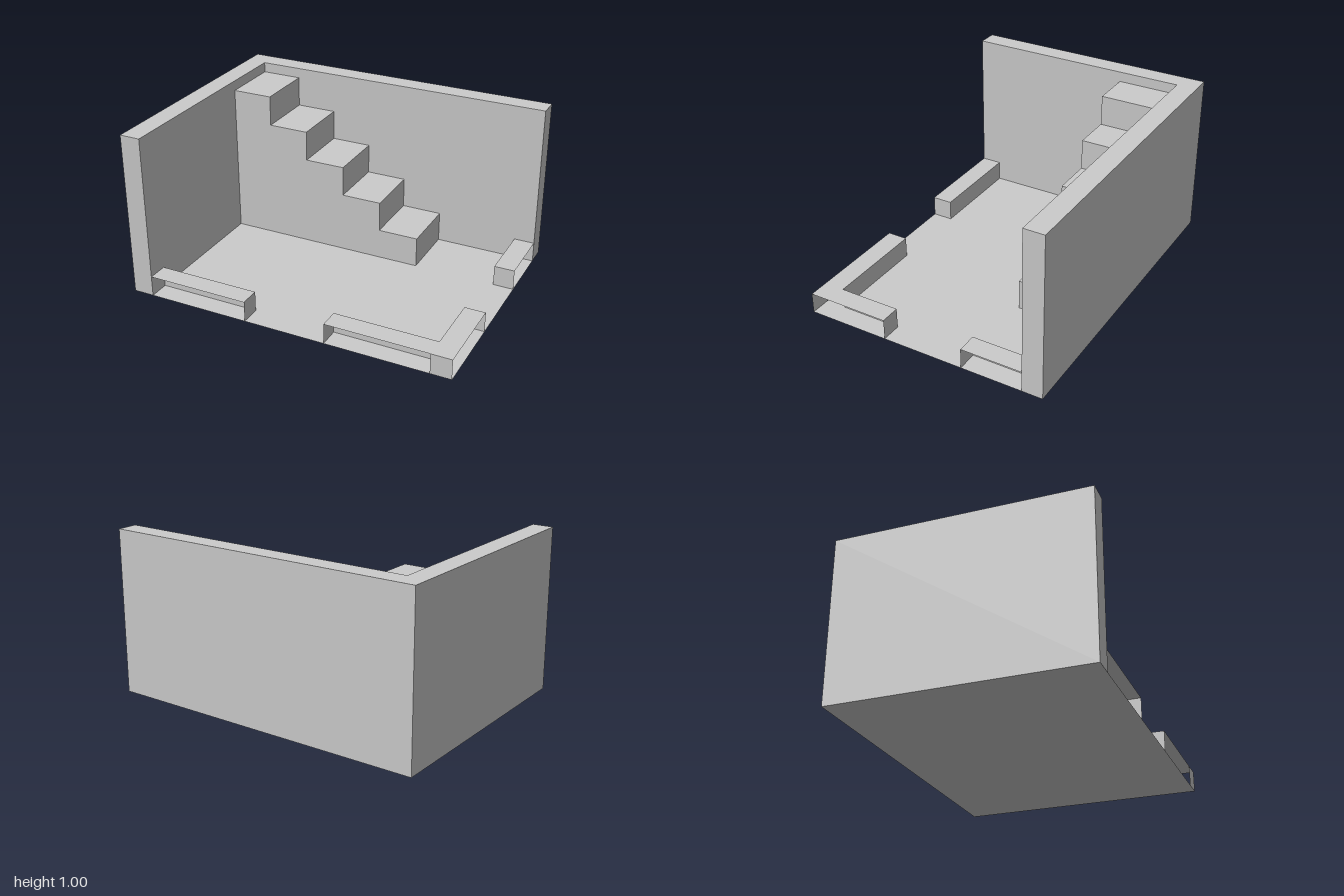
import * as THREE from 'three';

const solid = new THREE.MeshStandardMaterial({ color: 0xcccccc, flatShading: true });
const thin = new THREE.MeshStandardMaterial({ color: 0xcccccc, flatShading: true, side: THREE.DoubleSide });

const shapeOf = (points) => new THREE.Shape(points.map(([x, y]) => new THREE.Vector2(x, y)));
// Floor-plan outline given as [x, z] pairs; after rotation the shape's y becomes -z.
const planOf = (points) => shapeOf(points.map(([x, z]) => [x, -z]));

function add(parent, name, geometry, material) {
  const mesh = new THREE.Mesh(geometry, material);
  mesh.name = name;
  parent.add(mesh);
  return mesh;
}

// Flat horizontal sheet at height y
function sheet(parent, name, points, y) {
  const geometry = new THREE.ShapeGeometry(planOf(points)).rotateX(-Math.PI / 2).translate(0, y, 0);
  return add(parent, name, geometry, thin);
}

// Upright panel standing on the floor between two [x, z] points
function panel(parent, name, [x0, z0], [x1, z1], height) {
  const geometry = new THREE.PlaneGeometry(Math.hypot(x1 - x0, z1 - z0), height);
  geometry.rotateY(-Math.atan2(z1 - z0, x1 - x0));
  geometry.translate((x0 + x1) / 2, height / 2, (z0 + z1) / 2);
  return add(parent, name, geometry, thin);
}

export function createModel() {
  const model = new THREE.Group();
  model.name = 'roomWithStairs';
  const X = 1, Z = 0.75, T = 0.125, H = 0.125;
  const xi = X - T, zi = Z - T;

  // Tall L-shaped back and side wall
  const wallPlan = planOf([[-X, -Z], [-X, Z], [-xi, Z], [-xi, -zi], [X, -zi], [X, -Z]]);
  const walls = new THREE.ExtrudeGeometry(wallPlan, { depth: 1, bevelEnabled: false });
  add(model, 'tallWalls', walls.rotateX(-Math.PI / 2), solid);

  // Floor between the walls
  sheet(model, 'floor', [[-xi, Z], [X, Z], [X, -zi], [-xi, -zi]], 0);

  // Solid staircase along the back wall
  const steps = 5, run = 0.25, rise = 0.1875;
  const profile = [[-xi, 0], [-xi + steps * run, 0]];
  for (let i = 0; i < steps; i++) {
    const x = -xi + (steps - i) * run;
    profile.push([x, (i + 1) * rise], [x - run, (i + 1) * rise]);
  }
  const stairs = new THREE.ExtrudeGeometry(shapeOf(profile), { depth: 0.375, bevelEnabled: false });
  add(model, 'staircase', stairs.translate(0, 0, -zi), solid);

  // Low front kerb beside the side wall, open on its outer face
  const frontKerb = new THREE.Group();
  frontKerb.name = 'frontKerb';
  sheet(frontKerb, 'kerbTop', [[-xi, Z], [-0.25, Z], [-0.25, zi], [-xi, zi]], H);
  panel(frontKerb, 'kerbInnerFace', [-0.25, zi], [-xi, zi], H);
  panel(frontKerb, 'kerbEnd', [-0.25, Z], [-0.25, zi], H);

  // Low corner kerb, open outside except for the small corner face
  const cornerKerb = new THREE.Group();
  cornerKerb.name = 'cornerKerb';
  sheet(cornerKerb, 'kerbTop',
    [[0.25, Z], [X, Z], [X, 0.25], [xi, 0.25], [xi, zi], [0.25, zi]], H);
  panel(cornerKerb, 'kerbFrontEnd', [0.25, zi], [0.25, Z], H);
  panel(cornerKerb, 'kerbFrontInnerFace', [xi, zi], [0.25, zi], H);
  panel(cornerKerb, 'kerbSideInnerFace', [xi, 0.25], [xi, zi], H);
  panel(cornerKerb, 'kerbSideEnd', [X, 0.25], [xi, 0.25], H);
  panel(cornerKerb, 'kerbCornerFace', [xi, Z], [X, Z], H);

  // Low side kerb meeting the back wall
  const sideKerb = new THREE.Group();
  sideKerb.name = 'sideKerb';
  sheet(sideKerb, 'kerbTop', [[xi, -0.25], [X, -0.25], [X, -zi], [xi, -zi]], H);
  panel(sideKerb, 'kerbInnerFace', [xi, -zi], [xi, -0.25], H);
  panel(sideKerb, 'kerbEnd', [xi, -0.25], [X, -0.25], H);

  model.add(frontKerb, cornerKerb, sideKerb);
  return model;
}
